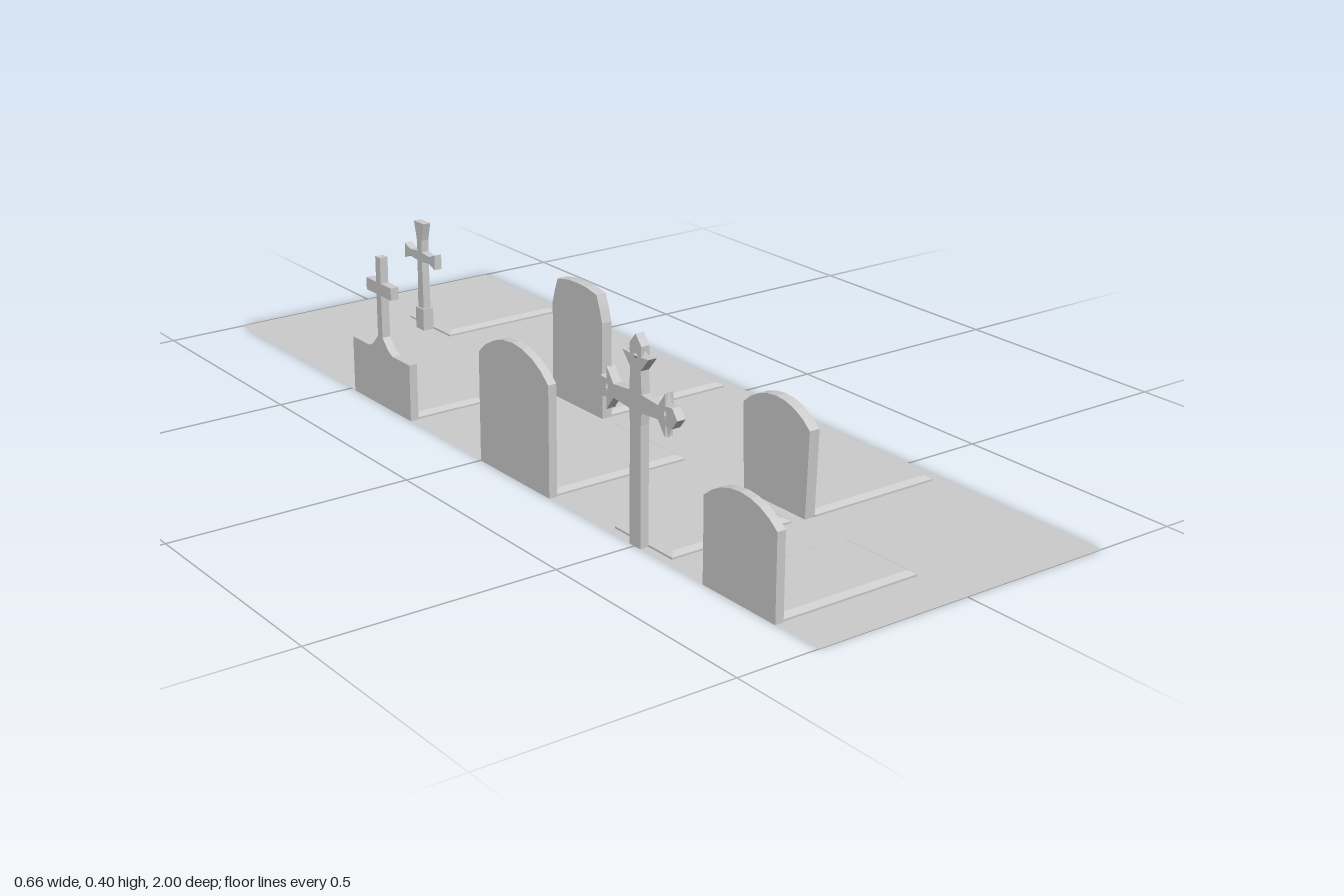
import * as THREE from 'three';

const stone = new THREE.MeshStandardMaterial({ color: 0xcccccc, flatShading: true });
const sheet = new THREE.MeshStandardMaterial({ color: 0xcccccc, side: THREE.DoubleSide });

function add(parent, name, geometry, x = 0, y = 0, z = 0) {
  const mesh = new THREE.Mesh(geometry, stone);
  mesh.name = name;
  mesh.position.set(x, y, z);
  parent.add(mesh);
  return mesh;
}

// Upright stone: half outline [half width, height] from the base up, mirrored, extruded along x
function upright(half, thickness) {
  const other = half.filter(p => p[0] > 0).map(([u, v]) => [-u, v]).reverse();
  const shape = new THREE.Shape([...half, ...other].map(p => new THREE.Vector2(...p)));
  const geometry = new THREE.ExtrudeGeometry(shape, { depth: thickness, bevelEnabled: false });
  return geometry.translate(0, 0, -thickness / 2).rotateY(Math.PI / 2);
}

// Half outline of a headstone with a shallow arched top
function arched(bottom, width, shoulder, peak) {
  const rise = peak - shoulder;
  const radius = (width * width + rise * rise) / (2 * rise);
  const sweep = Math.asin(width / radius);
  const points = [[bottom, 0]];
  for (let i = 0; i <= 4; i++) {
    const a = sweep * (1 - i / 4);
    points.push([radius * Math.sin(a), peak - radius + radius * Math.cos(a)]);
  }
  return points;
}

// Grave slab: low box whose top edge is chamfered inward
function slab(width, depth, height = 0.011, lip = 0.004, inset = 0.012) {
  const geometry = new THREE.BoxGeometry(width, height, depth, 1, 2, 1);
  const p = geometry.attributes.position;
  for (let i = 0; i < p.count; i++) {
    const y = p.getY(i) + height / 2;
    if (y > height * 0.75) {
      p.setX(i, p.getX(i) - Math.sign(p.getX(i)) * inset);
      p.setZ(i, p.getZ(i) - Math.sign(p.getZ(i)) * inset);
    }
    p.setY(i, y < height * 0.25 ? 0 : y > height * 0.75 ? height : lip);
  }
  geometry.computeVertexNormals();
  return geometry;
}

const flaredCross = [
  [0.012, 0], [0.011, 0.09], [0.009, 0.16], [0.04, 0.163], [0.063, 0.154], [0.063, 0.188],
  [0.04, 0.179], [0.009, 0.182], [0.01, 0.21], [0.02, 0.25]];
const shoulderedCross = [
  [0.112, 0], [0.112, 0.12], [0.047, 0.12], [0.03, 0.128], [0.012, 0.147], [0.009, 0.15], [0.009, 0.24],
  [0.048, 0.24], [0.048, 0.266], [0.009, 0.266], [0.009, 0.32]];
const budCross = [
  [0.016, 0], [0.016, 0.235], [0.018, 0.258], [0.065, 0.262], [0.085, 0.235], [0.085, 0.258],
  [0.105, 0.256], [0.12, 0.275], [0.105, 0.294], [0.085, 0.292], [0.085, 0.315], [0.065, 0.288],
  [0.018, 0.292], [0.015, 0.335], [0.038, 0.362], [0.016, 0.36], [0.017, 0.38], [0, 0.4]];
const clippedStone = [[0.088, 0], [0.087, 0.205], [0.078, 0.235], [0.068, 0.26], [0.03, 0.267], [0, 0.268]];

export function createModel() {
  const model = new THREE.Group();

  const ground = new THREE.Mesh(new THREE.PlaneGeometry(0.66, 2).rotateX(-Math.PI / 2), sheet);
  ground.name = 'ground';
  model.add(ground);

  // Each grave: marker outline and thickness, marker place, slab extent in x and depth in z
  const graves = [
    { name: 'flaredCross', half: flaredCross, t: 0.018, x: 0, z: -0.745, x0: 0.013, x1: 0.3, d: 0.17 },
    { name: 'shoulderedCross', half: shoulderedCross, t: 0.018, x: -0.323, z: -0.372, x0: -0.315, x1: -0.012, d: 0.22 },
    { name: 'clippedHeadstone', half: clippedStone, t: 0.023, x: 0.001, z: -0.13, x0: 0.012, x1: 0.305, d: 0.175 },
    { name: 'tallHeadstone', half: arched(0.117, 0.117, 0.225, 0.275), t: 0.018, x: -0.323, z: 0.118, x0: -0.315, x1: -0.012, d: 0.23 },
    { name: 'budCross', half: budCross, t: 0.018, x: -0.322, z: 0.502, x0: -0.313, x1: -0.04, d: 0.17 },
    { name: 'flaredHeadstone', half: arched(0.088, 0.095, 0.175, 0.215), t: 0.023, x: 0.001, z: 0.502, x0: 0.012, x1: 0.305, d: 0.18 },
    { name: 'lowHeadstone', half: arched(0.097, 0.097, 0.167, 0.205), t: 0.018, x: -0.323, z: 0.795, x0: -0.315, x1: -0.012, d: 0.19 },
  ];
  for (const g of graves) {
    const grave = new THREE.Group();
    grave.name = g.name + 'Grave';
    grave.position.z = g.z;
    add(grave, g.name, upright(g.half, g.t), g.x);
    add(grave, 'graveSlab', slab(g.x1 - g.x0, g.d), (g.x0 + g.x1) / 2);
    model.add(grave);

    // Plinth under the flared cross
    if (g.name === 'flaredCross') add(grave, 'plinth', new THREE.BoxGeometry(0.026, 0.05, 0.032), g.x, 0.025);

    // Faceted buds on the three arms
    if (g.name === 'budCross') {
      const bud = new THREE.OctahedronGeometry(1);
      for (const s of [-1, 1]) add(grave, 'sideBud', bud, g.x, 0.275, s * 0.085).scale.set(0.012, 0.044, 0.018);
      add(grave, 'topBud', bud, g.x, 0.36).scale.set(0.012, 0.02, 0.038);
    }
  }
  return model;
}
